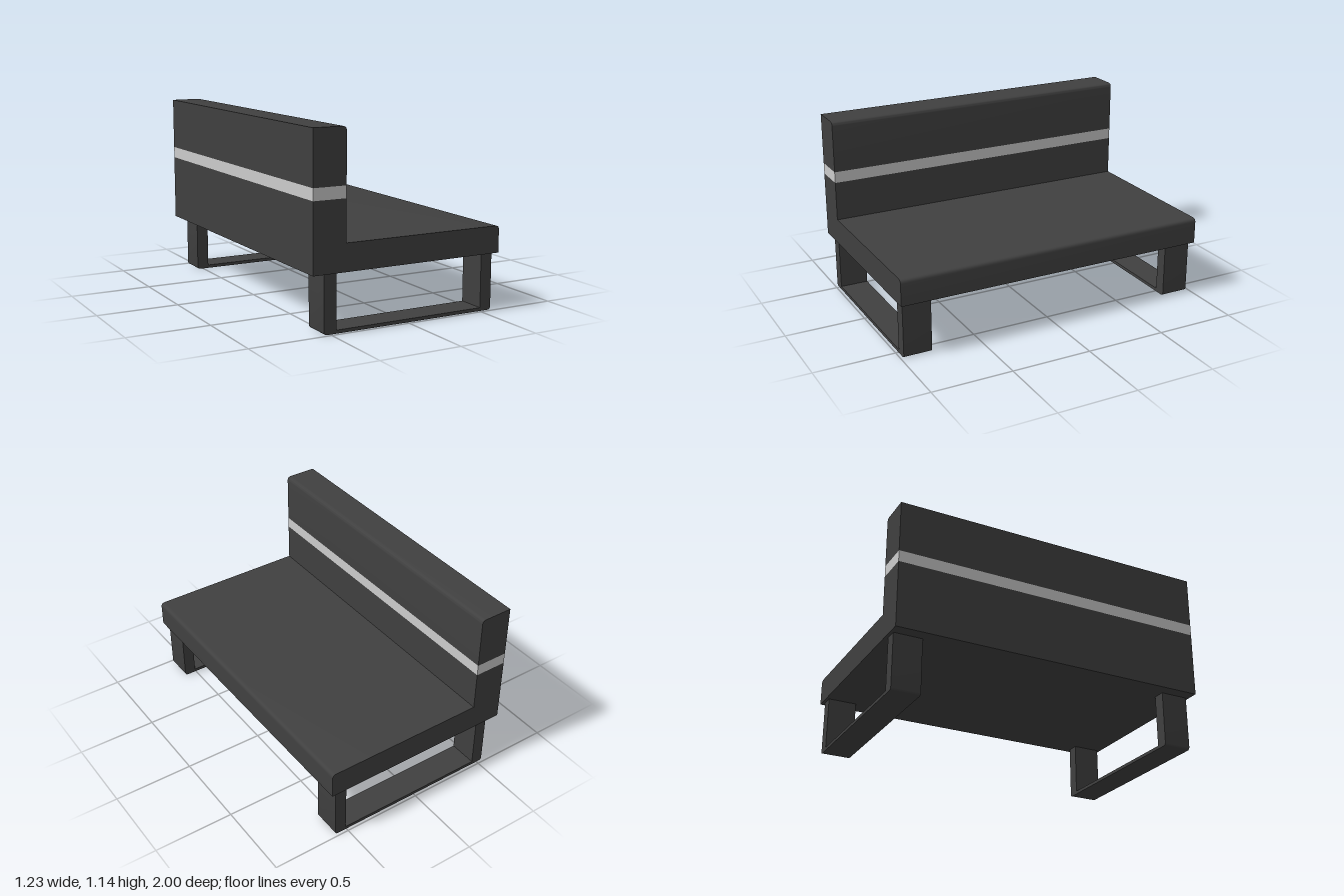
import * as THREE from 'three';
import { toCreasedNormals } from 'three/addons/utils/BufferGeometryUtils.js';

const dark = new THREE.MeshStandardMaterial({ color: 0x404040 });
const light = new THREE.MeshStandardMaterial({ color: 0xcccccc });

// Closed side profile from [x, y, cornerRadius] points, listed counter-clockwise
function profile(points) {
  const shape = new THREE.Shape();
  const n = points.length;
  points.forEach(([x, y, r = 0], i) => {
    const corner = new THREE.Vector2(x, y);
    const toward = ([px, py]) =>
      new THREE.Vector2(px, py).sub(corner).setLength(r).add(corner);
    const a = r ? toward(points[(i + n - 1) % n]) : corner;
    if (i === 0) shape.moveTo(a.x, a.y);
    else shape.lineTo(a.x, a.y);
    if (r) {
      const b = toward(points[(i + 1) % n]);
      shape.quadraticCurveTo(x, y, b.x, b.y);
    }
  });
  shape.closePath();
  return shape;
}

// Extrude a profile along z, centred on zCentre
function part(name, points, width, zCentre, material) {
  const geometry = new THREE.ExtrudeGeometry(profile(points), {
    depth: width, bevelEnabled: false, curveSegments: 6,
  });
  geometry.translate(0, 0, zCentre - width / 2);
  const mesh = new THREE.Mesh(toCreasedNormals(geometry, 0.6), material);
  mesh.name = name;
  return mesh;
}

export function createModel() {
  const model = new THREE.Group();
  model.name = 'bench';

  const back = -0.615, backFront = -0.41, front = 0.615;
  const seatBottom = 0.343, seatTop = 0.505;
  const bandBottom = 0.75, bandTop = 0.82, top = 1.14;

  // Seat and lower backrest in one L-shaped cushion
  model.add(part('seatAndLowerBackrest', [
    [back, seatBottom], [front, seatBottom], [front, seatTop, 0.025],
    [backFront, seatTop], [backFront, bandBottom], [back, bandBottom],
  ], 2, 0, dark));

  // Light band through the backrest
  model.add(part('backrestBand', [
    [back, bandBottom], [backFront, bandBottom], [backFront, bandTop], [back, bandTop],
  ], 2, 0, light));

  // Upper backrest with a rounded front edge
  model.add(part('upperBackrest', [
    [back, bandTop], [backFront, bandTop], [backFront, top, 0.025], [back, top],
  ], 2, 0, dark));

  // U-shaped leg frame at each end
  for (const side of [1, -1]) {
    model.add(part(side > 0 ? 'frontLegFrame' : 'rearLegFrame', [
      [-0.538, 0, 0.02], [0.579, 0, 0.02], [0.579, seatBottom], [0.505, seatBottom],
      [0.505, 0.02], [-0.462, 0.02], [-0.462, seatBottom], [-0.538, seatBottom],
    ], 0.177, side * 0.893, dark));
  }
  return model;
}
